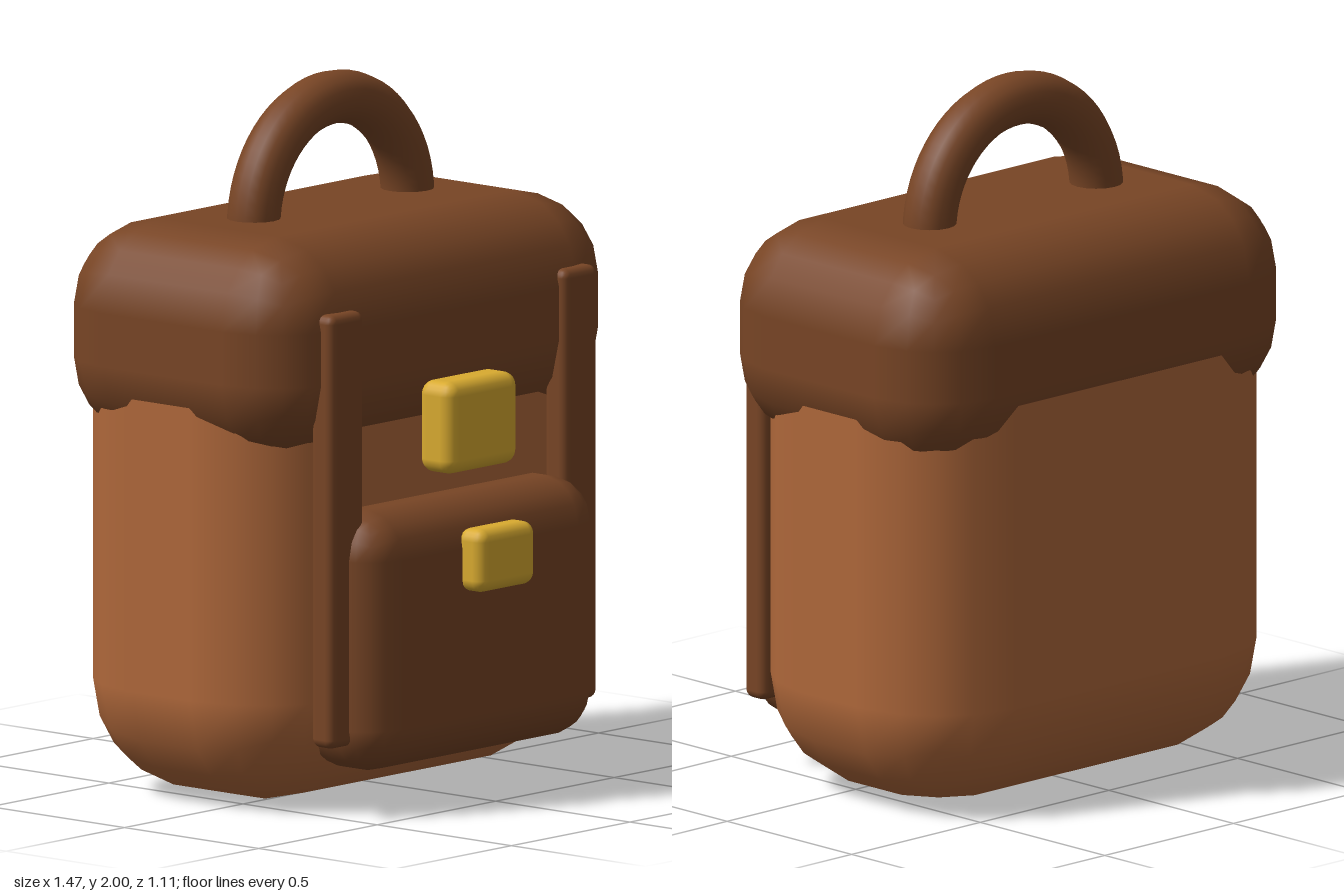
import * as THREE from 'three';
import { RoundedBoxGeometry } from 'three/addons/geometries/RoundedBoxGeometry.js';

const material = (name, color) => {
  const m = new THREE.MeshStandardMaterial({ color });
  m.name = name;
  return m;
};

export function createModel() {
  const tan = material('tan leather', 0xae673a);
  const brown = material('dark brown leather', 0x784525);
  const brass = material('brass', 0xd9ab30);

  const group = new THREE.Group();
  group.name = 'backpack';

  const add = (name, geometry, mat) => {
    const mesh = new THREE.Mesh(geometry, mat);
    mesh.name = name;
    group.add(mesh);
    return mesh;
  };

  // Rounded block given by its extents on each axis
  const block = (name, mat, [x0, x1], [y0, y1], [z0, z1], radius) => {
    const geometry = new RoundedBoxGeometry(x1 - x0, y1 - y0, z1 - z0, 2, radius);
    add(name, geometry, mat).position.set((x0 + x1) / 2, (y0 + y1) / 2, (z0 + z1) / 2);
  };

  // Main bag and the overhanging lid
  block('body', tan, [-0.715, 0.715], [0, 1.56], [-0.545, 0.31], 0.32);
  block('lid', brown, [-0.735, 0.735], [0.995, 1.625], [-0.555, 0.365], 0.24);

  // Front pocket
  block('frontPocket', brown, [-0.5, 0.5], [0.12, 0.86], [0.16, 0.48], 0.13);

  // Vertical straps on either side of the pocket
  block('leftStrap', brown, [0.42, 0.565], [0.205, 1.435], [0.305, 0.387], 0.025);
  block('rightStrap', brown, [-0.565, -0.42], [0.205, 1.435], [0.305, 0.387], 0.025);

  // Buckles on lid and pocket
  block('lidBuckle', brass, [-0.15, 0.15], [0.935, 1.197], [0.335, 0.463], 0.04);
  block('pocketBuckle', brass, [-0.12, 0.12], [0.607, 0.787], [0.455, 0.553], 0.035);

  // Carrying handle: half ring sunk into the lid
  add('handle', new THREE.TorusGeometry(0.325, 0.075, 16, 32, Math.PI), brown)
    .position.set(0, 1.6, -0.115);

  return group;
}
